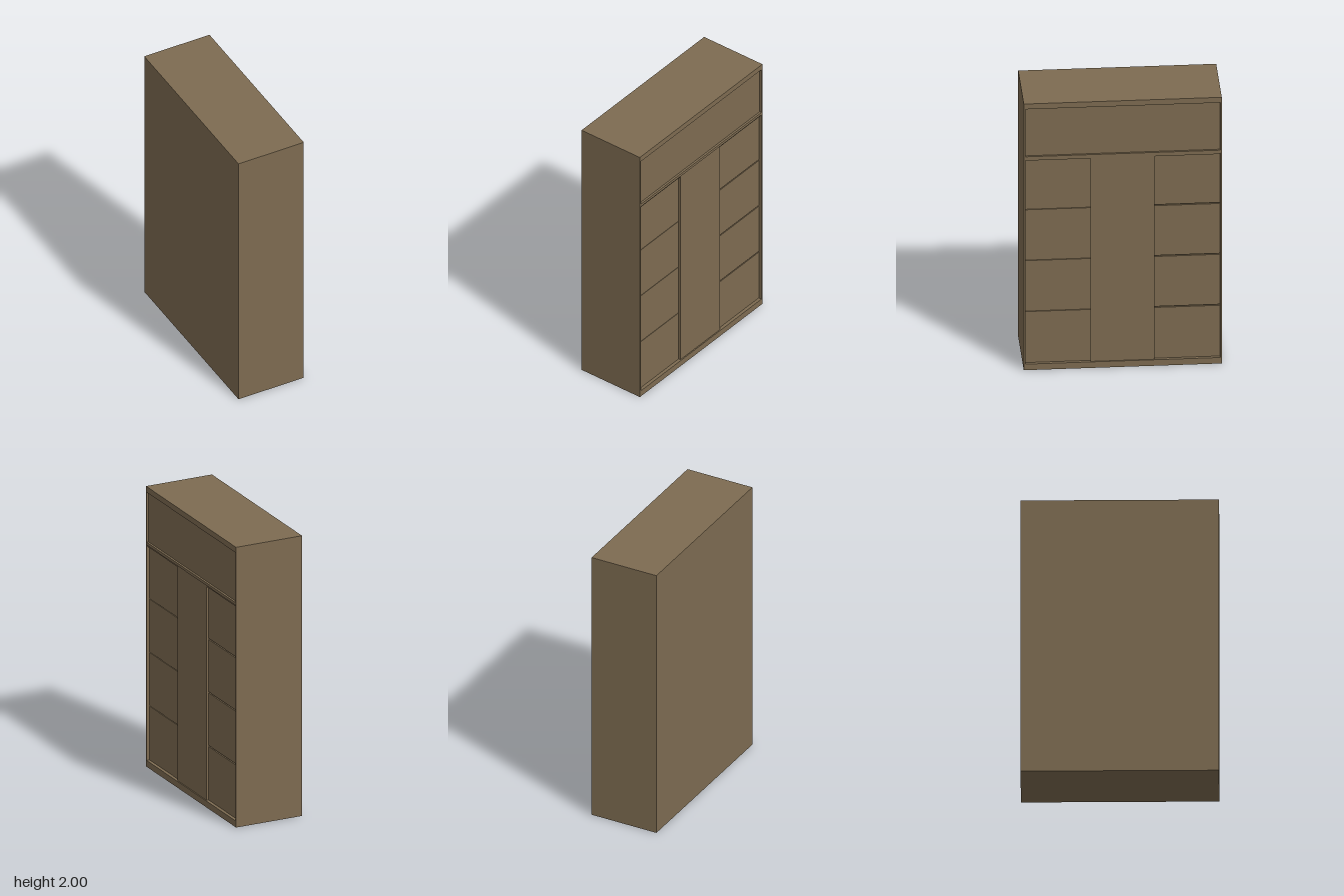
import * as THREE from 'three';

const wood = new THREE.MeshStandardMaterial({ color: 0x7d6b51 });
wood.name = 'brown wood';

// Box given by its low and high corners along each axis
function board(name, [x0, x1], [y0, y1], [z0, z1]) {
  const mesh = new THREE.Mesh(new THREE.BoxGeometry(x1 - x0, y1 - y0, z1 - z0), wood);
  mesh.name = name;
  mesh.position.set((x0 + x1) / 2, (y0 + y1) / 2, (z0 + z1) / 2);
  return mesh;
}

export function createModel() {
  const wardrobe = new THREE.Group();
  wardrobe.name = 'wardrobe';
  const W = 0.665, X = 0.248, T = 0.01;
  const inner = [-W + T, W - T];

  // Carcass: the doors open towards +x
  wardrobe.add(
    board('topBoard', [-X, X], [1.96, 2], [-W, W]),
    board('plinth', [-X, X], [0, 0.045], inner),
    board('backBoard', [-X, -X + T], [0.045, 1.96], inner),
    board('leftSide', [-X, X], [0, 1.96], [W - T, W]),
    board('rightSide', [-X, X], [0, 1.96], [-W, -W + T]),
  );

  // Upper compartment front and the stepped rail below it
  wardrobe.add(
    board('upperFront', [0.215, X - 0.015], [1.603, 1.96], inner),
    board('upperShelf', [-X + T, X], [1.583, 1.603], inner),
    board('slidingRail', [-X + T, X - 0.008], [1.57, 1.583], inner),
  );

  // Middle sliding door runs in front of the two outer doors
  wardrobe.add(board('middleDoor', [0.215, X - 0.008], [0.045, 1.57], [-0.215, 0.215]));

  // Outer doors, each made of four panels with narrow grooves between
  const joints = [0.045, 0.43, 0.813, 1.195, 1.57];
  for (const side of [1, -1]) {
    const door = new THREE.Group();
    door.name = side > 0 ? 'leftDoor' : 'rightDoor';
    const span = side > 0 ? [0.2, W - T] : [-W + T, -0.2];
    const gap = side > 0 ? 0.002 : 0.004;
    door.add(board('doorCore', [0.2, 0.215], [0.045, 1.57], span));
    for (let i = 0; i < 4; i++) {
      const low = joints[i] + (i > 0 ? gap : 0);
      const high = joints[i + 1] - (i < 3 ? gap : 0);
      door.add(board('doorPanel', [0.215, X - 0.023], [low, high], span));
    }
    wardrobe.add(door);
  }
  return wardrobe;
}
